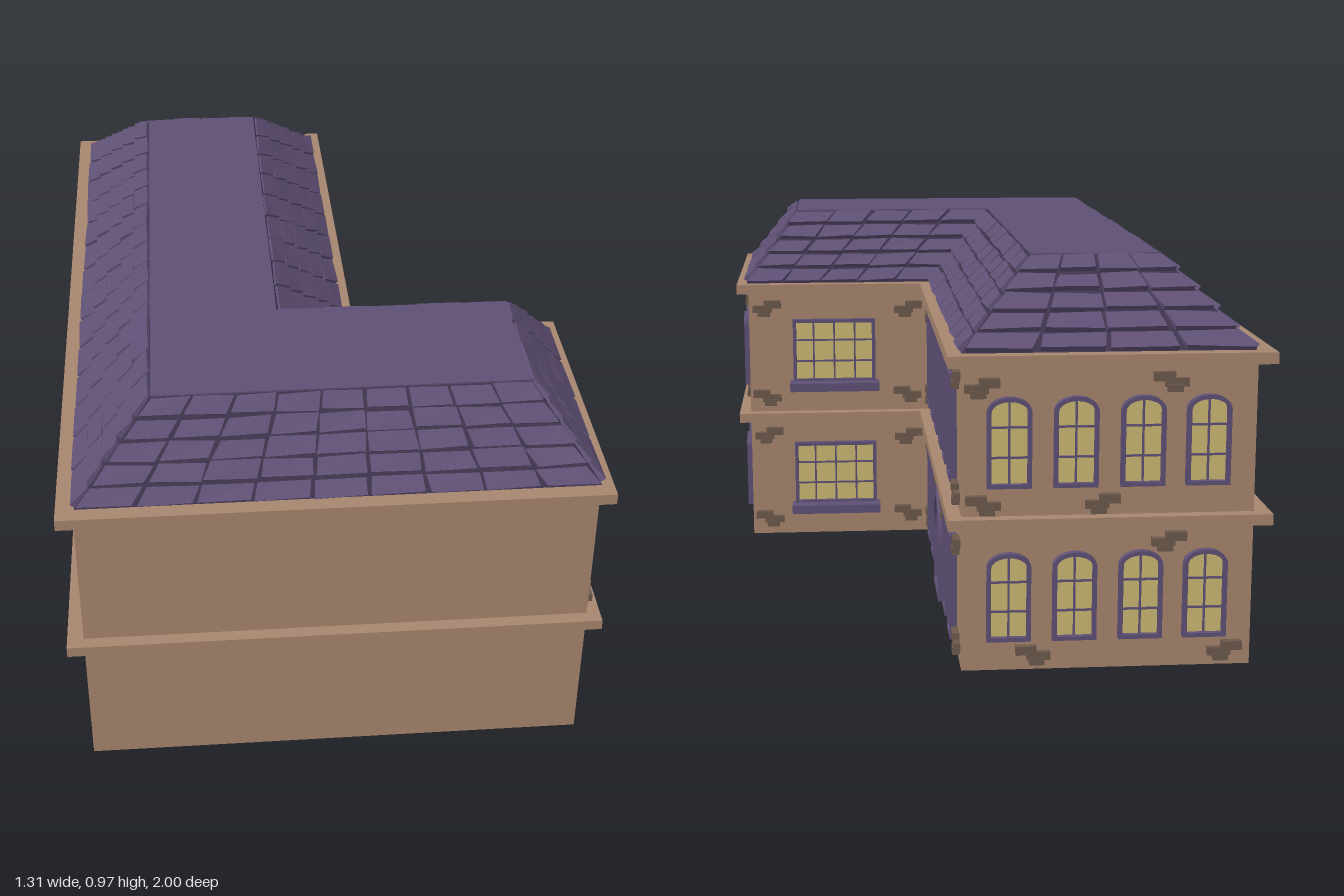
import * as THREE from 'three';
import { mergeGeometries } from 'three/addons/utils/BufferGeometryUtils.js';

const mat = (name, color) => {
  const m = new THREE.MeshStandardMaterial({ color });
  m.name = name;
  return m;
};

export function createModel() {
  const plaster = mat('plaster', 0xa8866f);
  const purple = mat('purple', 0x5f5075);
  const underlay = mat('roof underlay', 0x3d334c);
  const glass = mat('lit glass', 0xcdba74);
  const stone = mat('stone', 0x6e5a4c);

  const model = new THREE.Group();
  model.name = 'house';

  let seed = 7;
  const rand = () => {
    seed = (seed * 16807) % 2147483647;
    return seed / 2147483647 - 0.5;
  };
  const add = (parent, name, geo, material) => {
    const m = new THREE.Mesh(geo, material);
    m.name = name;
    parent.add(m);
    return m;
  };
  const box = (w, h, d, x, y, z) => new THREE.BoxGeometry(w, h, d).translate(x, y, z);

  // L-shaped footprint, counter-clockwise from above, as [x, z] corners
  const footprint = (left, front, right, innerZ, innerX, back) => [
    [left, front], [right, front], [right, innerZ], [innerX, innerZ], [innerX, back], [left, back]];
  const slab = (pts, y, h) => {
    const s = new THREE.Shape(pts.map(([x, z]) => new THREE.Vector2(x, -z)));
    return new THREE.ExtrudeGeometry(s, { depth: h, bevelEnabled: false })
      .rotateX(-Math.PI / 2).translate(0, y, 0);
  };

  // Walls and the two ledges
  const wallX = 0.622, mainX = 0.082, innerZ = 0.257, backZ = -0.968;
  add(model, 'walls', slab(footprint(-0.615, 0.968, wallX, innerZ, mainX, backZ), 0, 0.76), plaster);
  const ledge = footprint(-0.655, 1, 0.655, 0.223, 0.115, -1);
  add(model, 'middleLedge', slab(ledge, 0.353, 0.027), plaster);
  add(model, 'roofLedge', slab(ledge, 0.74, 0.028), plaster);

  // Sloped roof: dark underlay, tiles on each slope, flat top
  const low = footprint(-0.612, 0.962, 0.627, 0.258, 0.083, -0.965);
  const high = footprint(-0.425, 0.8, 0.475, 0.437, -0.107, -0.71);
  const y0 = 0.766, y1 = 0.964;
  const underlays = [], tiles = [];
  const rows = 5;
  low.forEach((p, i) => {
    const j = (i + 1) % low.length;
    const a = new THREE.Vector3(p[0], y0, p[1]);
    const b = new THREE.Vector3(low[j][0], y0, low[j][1]);
    const c = new THREE.Vector3(high[j][0], y1, high[j][1]);
    const d = new THREE.Vector3(high[i][0], y1, high[i][1]);
    const g = new THREE.BufferGeometry().setFromPoints([a, b, c, a, c, d]);
    g.computeVertexNormals();
    underlays.push(g);

    const normal = b.clone().sub(a).cross(d.clone().sub(a)).normalize();
    const length = (a.distanceTo(b) + c.distanceTo(d)) / 2;
    const cols = Math.max(4, Math.round(length / 0.125));
    const at = (u, v) => a.clone().lerp(b, u).lerp(d.clone().lerp(c, u), v);
    for (let r = 0; r < rows; r++) {
      for (let k = 0; k < cols; k++) {
        const tile = new THREE.BoxGeometry(1, 1, 1);
        const pos = tile.attributes.position;
        // one small offset for each of the four tile corners
        const wobble = [0, 1, 2, 3].map(() => [rand() * 0.06, rand() * 0.13, rand() * 0.004]);
        for (let n = 0; n < pos.count; n++) {
          const sx = Math.sign(pos.getX(n)), sy = Math.sign(pos.getY(n)), sz = pos.getZ(n);
          const w = wobble[(sx > 0 ? 1 : 0) + (sy > 0 ? 2 : 0)];
          const u = (k + 0.5 + sx * 0.465 + w[0]) / cols;
          const v = (r + 0.5 + sy * 0.43 + w[1]) / rows;
          const lift = sz > 0 ? (sy > 0 ? 0.006 : 0.014) + w[2] : 0;
          const q = at(THREE.MathUtils.clamp(u, 0, 1), THREE.MathUtils.clamp(v, 0, 1))
            .addScaledVector(normal, lift);
          pos.setXYZ(n, q.x, q.y, q.z);
        }
        const flat = tile.toNonIndexed();
        flat.computeVertexNormals();
        tiles.push(flat);
      }
    }
  });
  add(model, 'roofUnderlay', mergeGeometries(underlays), underlay);
  add(model, 'roofTiles', mergeGeometries(tiles), purple);
  add(model, 'flatRoof', slab(high, 0.955, 0.013), purple);

  // Opening outline, standing on y = 0: straight sides and a curved head
  const outline = (w, h, rise, pointed, inset = 0) => {
    const x = w / 2 - inset, top = h - inset, spring = h - rise - (rise ? 0 : inset);
    const s = new THREE.Shape();
    s.moveTo(-x, inset);
    s.lineTo(x, inset);
    s.lineTo(x, spring);
    if (pointed) {
      s.quadraticCurveTo(x * 0.92, spring + (top - spring) * 0.75, 0, top);
      s.quadraticCurveTo(-x * 0.92, spring + (top - spring) * 0.75, -x, spring);
    } else if (rise) {
      s.absellipse(0, spring, x, top - spring, 0, Math.PI, false);
    } else s.lineTo(-x, spring);
    s.closePath();
    return s;
  };
  const extrude = (s, depth) =>
    new THREE.ExtrudeGeometry(s, { depth, bevelEnabled: false, curveSegments: 8 });
  const frame = (w, h, rise, pointed, t, depth) => {
    const s = outline(w, h, rise, pointed);
    s.holes.push(outline(w, h, rise, pointed, t));
    return extrude(s, depth);
  };

  const addWindow = (wall, u, y, w, h, rise, cols, bars, sill) => {
    const g = new THREE.Group();
    g.name = 'window';
    g.position.set(u, y, 0);
    wall.add(g);
    add(g, 'windowGlass', extrude(outline(w, h, rise, false, 0.006), 0.004), glass);
    add(g, 'windowFrame', frame(w, h, rise, false, 0.01, 0.018), purple);
    const parts = [];
    for (let i = 1; i < cols; i++) parts.push(box(0.005, h - 0.01, 0.006, w * (i / cols - 0.5), h / 2, 0.005));
    for (let i = 1; i <= bars; i++) parts.push(box(w - 0.01, 0.005, 0.006, 0, (h * i) / (bars + 1), 0.005));
    add(g, 'windowBars', mergeGeometries(parts), purple);
    if (sill) add(g, 'windowSill', box(w + 0.02, 0.025, 0.062, 0, -0.008, 0.031), purple);
  };

  // A cluster of exposed stones
  const addStones = (wall, u, y, i) => {
    const s = i % 2 ? 1 : -1;
    add(wall, 'exposedStones', mergeGeometries([
      box(0.05, 0.022, 0.034, -0.018 * s, 0.011, 0),
      box(0.056, 0.02, 0.03, 0.012 * s, -0.003, 0),
      box(0.036, 0.018, 0.036, 0.008 * s, -0.016, 0),
    ]).translate(u, y, 0), stone);
  };

  // Wall groups: local x runs along the wall, local z points outwards
  const addWall = (name, x, z, angle) => {
    const g = new THREE.Group();
    g.name = name;
    g.position.set(x, 0, z);
    g.rotation.y = angle;
    model.add(g);
    return g;
  };
  const wingEnd = addWall('wingEndWall', wallX, 0, Math.PI / 2);
  const courtSide = addWall('courtyardMainWall', mainX, 0, Math.PI / 2);
  const wingSide = addWall('courtyardWingWall', 0, innerZ, Math.PI);
  const rear = addWall('rearWall', 0, backZ, Math.PI);

  // Arched windows on the two end walls
  for (const y of [0.075, 0.45]) {
    for (const z of [0.855, 0.695, 0.535, 0.375]) addWindow(wingEnd, -z, y, 0.105, 0.217, 0.035, 2, 2);
    for (const x of [-0.5, -0.345, -0.187, -0.03]) addWindow(rear, -x, y, 0.105, 0.217, 0.035, 2, 2);
    // Wide window with a deep sill
    addWindow(wingSide, -0.37, y + 0.02, 0.245, 0.19, 0, 4, 2, true);
  }

  // Tall windows facing the courtyard
  for (const z of [0.07, -0.107, -0.27, -0.445, -0.602, -0.78]) {
    addWindow(courtSide, -z, 0.43, 0.1, 0.265, 0, 2, 2);
    if (z > -0.2 || z < -0.5) addWindow(courtSide, -z, 0.03, 0.1, 0.265, 0, 2, 2);
  }

  // Pointed door
  const door = new THREE.Group();
  door.name = 'door';
  door.position.x = 0.35;
  courtSide.add(door);
  add(door, 'doorLeaf', extrude(outline(0.19, 0.285, 0.12, true), 0.006), purple);
  add(door, 'doorFrame', frame(0.19, 0.285, 0.12, true, 0.016, 0.022), purple);
  add(door, 'doorCentre', box(0.008, 0.265, 0.012, 0, 0.1325, 0.008), purple);
  for (const s of [-1, 1]) {
    for (const [y, h] of [[0.06, 0.08], [0.155, 0.08]]) {
      add(door, 'doorPanel', box(0.05, h, 0.006, s * 0.04, y, 0.008), purple);
    }
  }

  // Stones as [position along the wall, height]
  const stones = [
    [wingEnd, [[-0.78, 0.7], [-0.46, 0.7], [-0.91, 0.415], [-0.46, 0.415], [-0.785, 0.315], [-0.62, 0.04]]],
    [courtSide, [[-0.195, 0.68], [-0.21, 0.435], [-0.185, 0.295], [-0.195, 0.06], [0.215, 0.295],
      [0.485, 0.27], [0.9, 0.7], [0.89, 0.42], [0.9, 0.295], [0.9, 0.05]]],
    [wingSide, [[-0.57, 0.695], [-0.57, 0.425], [-0.15, 0.69], [-0.15, 0.43],
      [-0.57, 0.31], [-0.57, 0.05], [-0.15, 0.3], [-0.15, 0.06]]],
    [rear, [[-0.035, 0.69], [0.41, 0.7], [0.25, 0.41], [-0.03, 0.41], [0.41, 0.315], [0.09, 0.04], [0.55, 0.04]]],
  ];
  for (const [wall, spots] of stones) spots.forEach(([u, y], i) => addStones(wall, u, y, i));

  return model;
}
